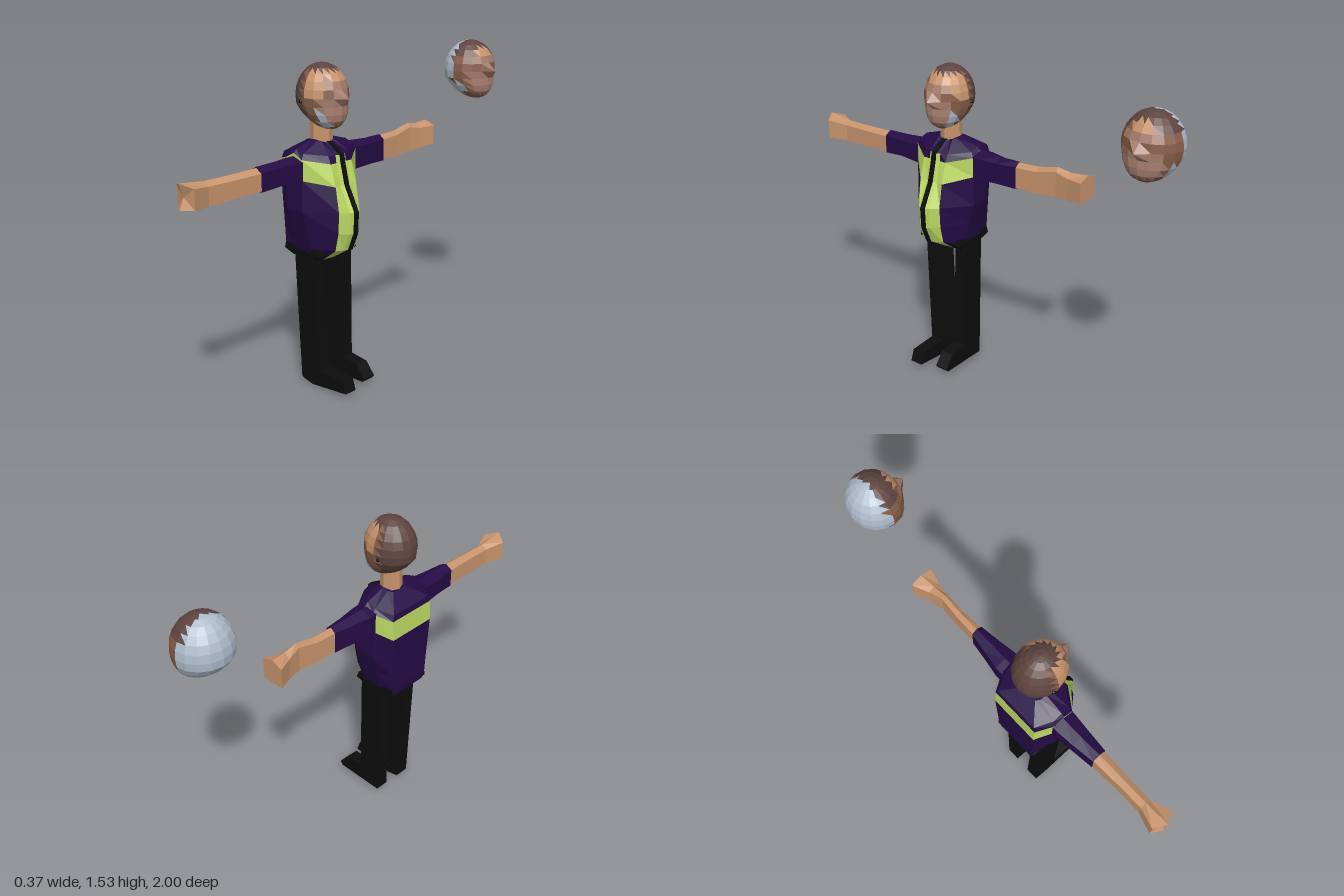
import * as THREE from 'three';

const mat = (name, color) => Object.assign(new THREE.MeshStandardMaterial({ color, flatShading: true }), { name });
const M = {
  purple: mat('purple cloth', 0x250b45),
  lime: mat('lime cloth', 0xbcd862),
  black: mat('black cloth', 0x0d0d0d),
  skin: mat('tan skin', 0xc8946c),
  hair: mat('dark brown hair', 0x5e4440),
  brown: mat('brown skin', 0x865e49),
  pink: mat('rosy skin', 0xa98070),
  grey: mat('pale grey hair', 0xb0bccd),
};

// Triangles sorted into one mesh per colour; pick(centroid, index) chooses the material
function painted(name, tris, pick) {
  const group = new THREE.Group();
  group.name = name;
  const sets = new Map();
  tris.forEach((t, i) => {
    const c = [0, 1, 2].map(k => (t[0][k] + t[1][k] + t[2][k]) / 3);
    const m = pick(c, i);
    if (!sets.has(m)) sets.set(m, []);
    sets.get(m).push(...t.flat());
  });
  for (const [m, pos] of sets) {
    const g = new THREE.BufferGeometry();
    g.setAttribute('position', new THREE.Float32BufferAttribute(pos, 3));
    g.computeVertexNormals();
    const mesh = new THREE.Mesh(g, m);
    mesh.name = name + ' ' + m.name;
    group.add(mesh);
  }
  return group;
}

// Closed skin over equal loops of points, turned outward by its signed volume
function loft(rings) {
  const n = rings[0].length, tris = [];
  for (let r = 0; r + 1 < rings.length; r++)
    for (let i = 0; i < n; i++) {
      const j = (i + 1) % n, a = rings[r], b = rings[r + 1];
      tris.push([a[i], a[j], b[j]], [a[i], b[j], b[i]]);
    }
  const cap = (ring, flip) => {
    const c = [0, 1, 2].map(k => ring.reduce((s, p) => s + p[k], 0) / n);
    ring.forEach((p, i) => {
      const q = ring[(i + 1) % n];
      tris.push(flip ? [c, q, p] : [c, p, q]);
    });
  };
  cap(rings[0], true);
  cap(rings[rings.length - 1], false);
  const o = rings[0][0];
  let vol = 0;
  for (const t of tris) {
    const [a, b, c] = t.map(p => new THREE.Vector3(p[0] - o[0], p[1] - o[1], p[2] - o[2]));
    vol += a.dot(b.cross(c));
  }
  return vol < 0 ? tris.map(([a, b, c]) => [a, c, b]) : tris;
}

// Limb along z from [z, x0, x1, y0, y1] sections with a ridged top
const limb = (name, rows, m) => painted(name, loft(rows.map(([z, x0, x1, y0, y1, tip = 0]) => {
  const xm = (x0 + x1) / 2, ys = y1 - 0.02;
  return [[x0, y0, z], [xm, y0 - 0.004, z + tip], [x1, y0, z], [x1, ys, z], [xm, y1, z + tip], [x0, ys, z]];
})), () => m);

// Upright block from [y, x0, x1, z0, z1] sections
const block = (name, rows, m) => painted(name, loft(rows.map(([y, x0, x1, z0, z1]) =>
  [[x0, y, z0], [x1, y, z0], [x1, y, z1], [x0, y, z1]])), () => m);

const CZ = 0.2; // the figure's middle in z

function makeJacket() {
  // yFront, ySide, yBack, xFront, xPanel, xSide, halfWidth, xBack, backHalfWidth
  const rows = [
    [0.64, 0.67, 0.66, 0.03, 0.02, -0.01, 0.115, -0.175, 0.10],
    [0.70, 0.70, 0.70, 0.13, 0.10, 0, 0.125, -0.18, 0.11],
    [0.785, 0.785, 0.785, 0.165, 0.12, 0, 0.145, -0.18, 0.115],
    [0.885, 0.885, 0.885, 0.17, 0.125, 0, 0.172, -0.182, 0.12],
    [1.0, 1.06, 1.0, 0.11, 0.105, 0, 0.17, -0.185, 0.125],
    [1.10, 1.15, 1.10, 0.085, 0.075, 0, 0.17, -0.18, 0.125],
    [1.135, 1.165, 1.13, 0.08, 0.06, -0.005, 0.155, -0.175, 0.115],
    [1.185, 1.195, 1.185, 0, -0.005, -0.02, 0.055, -0.1, 0.04],
  ];
  const rings = rows.map(([yf, ys, yb, xf, xm, xs, w, xb, wb]) => {
    const half = [[xf, yf, 0], [xf - 0.01, yf, Math.min(0.03, w * 0.4)], [xm, yf, Math.min(0.065, w * 0.75)],
      [xs, (yf + ys) / 2, w], [-0.05, ys, w], [-0.1 - xs, (yb + ys) / 2, w], [xb, yb, wb], [xb, yb, 0]];
    const other = half.slice(1, 7).reverse().map(([x, y, z]) => [x, y, -z]);
    return [...half, ...other].map(([x, y, z]) => [x, y, z + CZ]);
  });
  // Lime front panel and chest band, purple elsewhere
  const jacket = painted('jacket', loft(rings), (c, i) => {
    const row = Math.floor(i / 28), col = Math.floor((i % 28) / 2);
    if (row === 4) return M.lime;
    if (row < 4) return col < 2 || col > 11 ? M.lime : M.purple;
    return row === 5 && (col < 1 || col > 12) ? M.lime : M.purple;
  });
  const zip = block('zip', rows.map(r => [r[0], r[3] - 0.02, r[3] + 0.005, CZ - 0.011, CZ + 0.011]), M.black);
  return [jacket, zip];
}

// Head: a coarse ball with a pulled nose point and chin
function makeHead(name, z0, halfZ, pick) {
  const g = new THREE.SphereGeometry(1, 16, 12).toNonIndexed(), p = g.attributes.position, tris = [];
  for (let i = 0; i < p.count; i += 3)
    tris.push([0, 1, 2].map(k => {
      const x = p.getX(i + k), y = p.getY(i + k), z = p.getZ(i + k);
      const chin = Math.max(0, -y - 0.3), nose = x > 0.99 ? 0.038 : 0;
      return [-0.04 + 0.127 * x + 0.07 * chin + nose, 1.388 + 0.147 * y, z0 + halfZ * z];
    }));
  return painted(name, tris, ([x, y, z]) => pick(x, y, Math.abs(z - z0)));
}

// Rosy middle of the face with brown brows and a tan forehead
function face(x, y, z) {
  if (y > 1.46) return z < 0.05 ? M.skin : M.brown;
  if (y > 1.385 && y < 1.42 && z > 0.03) return M.brown;
  return y < 1.27 ? M.brown : M.pink;
}

export function createModel() {
  const model = new THREE.Group();
  model.name = 'figure with spare head';
  model.add(...makeJacket());

  // Hips and legs
  model.add(
    block('hips', [[0.645, -0.13, 0.02, 0.09, 0.31], [0.67, -0.176, 0.05, 0.078, 0.322], [0.7, -0.17, 0.04, 0.08, 0.32]], M.black),
    block('leftLeg', [[0.02, -0.108, 0.015, 0.222, 0.29], [0.69, -0.11, 0.008, 0.252, 0.32]], M.black),
    block('rightLeg', [[0.02, -0.105, 0.018, 0.075, 0.142], [0.69, -0.11, 0.008, 0.07, 0.135]], M.black));

  // Shoes from side outlines
  const shoes = [
    ['leftShoe', 0.222, [[-0.105, 0.015], [-0.04, 0], [0.185, 0.022], [0.165, 0.08], [0.01, 0.088]]],
    ['rightShoe', 0.075, [[-0.1, 0.018], [0.15, 0.022], [0.165, 0.04], [0.13, 0.082], [0.115, 0.1], [0.015, 0.112]]],
  ];
  for (const [name, z, pts] of shoes) {
    const shape = new THREE.Shape(pts.map(p => new THREE.Vector2(...p)));
    const shoe = new THREE.Mesh(new THREE.ExtrudeGeometry(shape, { depth: 0.066, bevelEnabled: false }), M.black);
    shoe.name = name;
    shoe.position.z = z;
    model.add(shoe);
  }

  // Sleeves and bare arms
  model.add(
    limb('leftSleeve', [[0.3, -0.11, 0.005, 1.02, 1.14], [0.38, -0.11, 0.003, 1.025, 1.135], [0.48, -0.1, -0.005, 1.03, 1.13], [0.59, -0.085, -0.013, 1.02, 1.128]], M.purple),
    limb('leftArm', [[0.57, -0.082, -0.016, 1.025, 1.123], [0.75, -0.075, -0.02, 1.02, 1.12], [0.87, -0.075, -0.022, 1.017, 1.12], [0.965, -0.106, 0.01, 1.024, 1.135, 0.035]], M.skin),
    limb('rightSleeve', [[0.1, -0.11, 0.005, 1.02, 1.15], [0, -0.11, 0, 1.025, 1.148], [-0.09, -0.095, -0.012, 1.025, 1.143], [-0.19, -0.08, -0.025, 1.02, 1.145]], M.purple),
    limb('rightArm', [[-0.17, -0.077, -0.028, 1.025, 1.14], [-0.3, -0.075, -0.036, 1.02, 1.145], [-0.4, -0.072, -0.04, 1.03, 1.168], [-0.47, -0.09, -0.03, 1.036, 1.155], [-0.548, -0.126, -0.01, 1.044, 1.16]], M.skin));

  // Neck
  const neck = new THREE.Mesh(new THREE.CylinderGeometry(0.05, 0.052, 0.14, 8), M.skin);
  neck.name = 'neck';
  neck.position.set(-0.048, 1.23, CZ);
  model.add(neck);

  // Worn head with dark hair and small grey cheek patches
  model.add(makeHead('head', CZ, 0.114, (x, y, z) => {
    if (x < -0.06 || y > 1.5) return M.hair;
    if (x < 0.055 && x > 0.005 && y < 1.33 && y > 1.25 && z > 0.035) return M.grey;
    if (x > 0.035) return face(x, y, z);
    return x > -0.03 && y > 1.4 ? M.skin : M.brown;
  }));
  for (const s of [-1, 1]) {
    const ear = new THREE.Mesh(new THREE.SphereGeometry(0.009, 6, 4), M.black);
    ear.name = 'ear';
    ear.position.set(-0.065, 1.37, CZ + s * 0.11);
    model.add(ear);
  }

  // Spare head with a pale grey back
  model.add(makeHead('spareHead', -0.865, 0.135, (x, y, z) => {
    if (x < -0.055 && y > 1.27) return M.grey;
    if (x < 0.01 && y < 1.33 && y > 1.27) return M.grey;
    if (x > 0.035) return face(x, y, z);
    return y > 1.45 ? M.hair : M.brown;
  }));
  return model;
}
